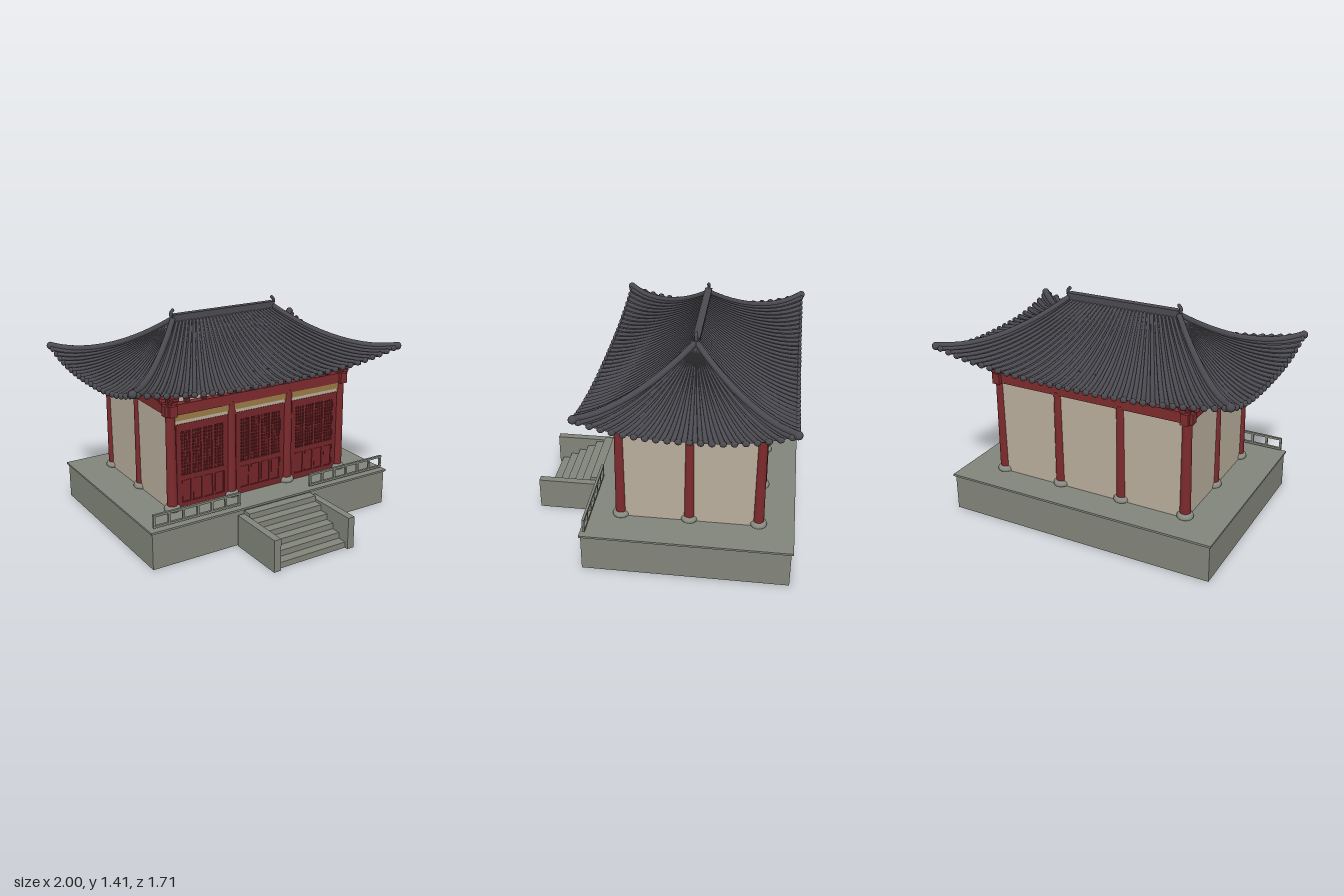
import * as THREE from 'three';
import { mergeGeometries } from 'three/addons/utils/BufferGeometryUtils.js';

const mat = (name, color, side = THREE.FrontSide) => {
  const m = new THREE.MeshStandardMaterial({ color, side });
  m.name = name;
  return m;
};
const ZC = -0.2;                    // centre of the hall
const HX = 0.645, HZ = 0.43;        // half spacing of the corner columns
const RIDGE = 0.38, EX = 0.975, EZ = 0.62; // ridge and eave half sizes
const lerp = THREE.MathUtils.lerp;

const box = (w, h, d, x, y, z) => new THREE.BoxGeometry(w, h, d).translate(x, y, z);
// Box from its limits
const span = (x0, x1, y0, y1, z0, z1) =>
  box(x1 - x0, y1 - y0, z1 - z0, (x0 + x1) / 2, (y0 + y1) / 2, (z0 + z1) / 2);

// Roof surface: s runs along the eave (-1..1), t from ridge (0) to eave (1)
function roofPoint(end, s, t, lift = 0) {
  const y = 1.34 - 0.32 * (1 - Math.pow(1 - t, 1.7)) + 0.09 * Math.pow(Math.abs(s), 2.6) * t * t + lift;
  return end
    ? new THREE.Vector3(lerp(RIDGE, EX, t), y, -s * EZ * t)
    : new THREE.Vector3(s * lerp(RIDGE, EX, t), y, EZ * t);
}

function roofSheet(end) {
  const g = new THREE.PlaneGeometry(1, 1, 40, 14);
  const p = g.attributes.position;
  for (let i = 0; i < p.count; i++) {
    const v = roofPoint(end, p.getX(i) * 2, 0.5 - p.getY(i));
    p.setXYZ(i, v.x, v.y, v.z);
  }
  g.computeVertexNormals();
  return g;
}

// Tile roll down the slope, narrowing toward the ridge
function roll(end, s, r, top, lift) {
  const pts = [];
  for (let i = 0; i <= 8; i++) pts.push(roofPoint(end, s, i / 8, lift));
  const curve = new THREE.CatmullRomCurve3(pts);
  const n = 12, sides = 8;
  const g = new THREE.TubeGeometry(curve, n, r, sides);
  const p = g.attributes.position, v = new THREE.Vector3();
  for (let i = 0; i < p.count; i++) {
    const u = Math.floor(i / (sides + 1)) / n;
    const c = curve.getPointAt(u);
    v.fromBufferAttribute(p, i).sub(c).multiplyScalar(lerp(top, 1, u)).add(c);
    p.setXYZ(i, v.x, v.y, v.z);
  }
  return g;
}

export function createModel() {
  const stone = mat('stone', 0x82857a);
  const red = mat('red lacquer', 0x7d2a2d);
  const doorRed = mat('door red', 0x742528);
  const shade = mat('door recess', 0x541a1d);
  const plaster = mat('plaster', 0xb8ae9c);
  const ochre = mat('ochre', 0x9a7a45);
  const tile = mat('roof tile', 0x4a4a50, THREE.DoubleSide);
  const darkWood = mat('bracket wood', 0x5a2a2a);
  const baseStone = mat('column base stone', 0x8b8c82);

  const model = new THREE.Group();
  const add = (name, material, geos) => {
    const m = new THREE.Mesh(mergeGeometries(geos.map(g => g.index ? g.toNonIndexed() : g)), material);
    m.name = name;
    model.add(m);
    return m;
  };

  // Terrace with a thin overhanging slab
  add('terrace', stone, [span(-0.895, 0.895, 0, 0.237, -0.84, 0.44)]);
  add('terraceSlab', stone, [span(-0.905, 0.905, 0.237, 0.25, -0.853, 0.45)]);

  // Stairs between two solid cheeks
  const steps = [];
  for (let i = 0; i < 6; i++) {
    const z = 0.83 - i * 0.0635;
    steps.push(span(-0.255, 0.255, i * 0.039, (i + 1) * 0.039, z - 0.0635, z));
  }
  add('steps', stone, steps);
  add('stairCheeks', stone, [-1, 1].map(s => box(0.048, 0.212, 0.405, s * 0.278, 0.106, 0.652)));

  // Railings on the front edge
  for (const s of [-1, 1]) {
    const parts = [0.273, 0.345].map(y => box(0.61, 0.014, 0.016, s * 0.573, y, 0.422));
    for (let i = 0; i < 7; i++) parts.push(box(0.014, 0.085, 0.014, s * (0.275 + i * 0.0993), 0.309, 0.422));
    add(s > 0 ? 'leftRailing' : 'rightRailing', stone, parts);
  }

  // Columns on round bases
  const spots = [];
  for (const x of [-HX, -0.217, 0.217, HX])
    for (const z of [-HZ, HZ]) spots.push([x, ZC + z]);
  spots.push([-HX, ZC], [HX, ZC]);
  add('columns', red, spots.map(([x, z]) =>
    new THREE.CylinderGeometry(0.029, 0.034, 0.62, 20).translate(x, 0.58, z)));
  const profile = [[0, 0], [0.05, 0], [0.052, 0.012], [0.048, 0.026], [0.04, 0.034], [0, 0.034]]
    .map(([x, y]) => new THREE.Vector2(x, y));
  add('columnBases', baseStone, spots.map(([x, z]) =>
    new THREE.LatheGeometry(profile, 20).translate(x, 0.25, z)));

  // Plaster walls on the sides and back, with a strip above the doors
  add('walls', plaster, [
    ...[-1, 1].map(s => box(0.03, 0.63, HZ * 2, s * HX, 0.565, ZC)),
    box(HX * 2, 0.63, 0.03, 0, 0.565, ZC - HZ),
    box(HX * 2, 0.08, 0.024, 0, 0.84, ZC + HZ),
  ]);
  add('lintel', ochre, [box(HX * 2, 0.038, 0.036, 0, 0.852, ZC + HZ)]);

  // Tie beams crossing at the corners
  add('tieBeams', red, [
    ...[-1, 1].map(s => box(1.38, 0.067, 0.05, 0, 0.907, ZC + s * HZ)),
    ...[-1, 1].map(s => box(0.05, 0.069, 0.96, s * HX, 0.907, ZC)),
  ]);

  // Door bays: four leaves, each with lattice above and a panel below
  const zd = ZC + HZ;
  for (const [name, cx] of [['rightDoors', -0.43], ['middleDoors', 0], ['leftDoors', 0.43]]) {
    const w = 0.37, frame = [], panels = [];
    frame.push(box(w, 0.05, 0.03, cx, 0.785, zd), box(w, 0.035, 0.03, cx, 0.455, zd),
      box(w, 0.04, 0.03, cx, 0.27, zd));
    for (const s of [-1, 1]) frame.push(box(0.03, 0.56, 0.03, cx + s * 0.17, 0.53, zd));
    for (let i = 0; i < 4; i++) {
      const x = cx - 0.1185 + i * 0.079;
      for (const s of [-1, 1]) frame.push(box(0.009, 0.52, 0.026, x + s * 0.035, 0.53, zd));
      for (let k = -1; k <= 1; k++) frame.push(box(0.006, 0.3, 0.018, x + k * 0.0165, 0.615, zd));
      for (let k = 0; k < 12; k++) frame.push(box(0.07, 0.006, 0.02, x, 0.493 + k * 0.0225, zd));
      panels.push(box(0.056, 0.14, 0.022, x, 0.364, zd));
    }
    add(name, doorRed, [...frame, ...panels]);
    add(name + 'Recess', shade, [box(w, 0.55, 0.008, cx, 0.53, zd)]);
  }

  // Brackets under the eaves
  const brackets = [];
  const bracket = (x, z, turn) => {
    for (const b of [box(0.026, 0.13, 0.03, 0, 0.995, 0), box(0.042, 0.018, 0.07, 0, 0.985, 0.01),
      box(0.03, 0.02, 0.13, 0, 1.012, 0.02)])
      brackets.push(b.rotateY(turn).translate(x, 0, z));
  };
  for (const s of [-1, 1]) {
    for (let i = 1; i < 11; i++) bracket(-HX + i * HX * 2 / 11, ZC + s * HZ, s > 0 ? 0 : Math.PI);
    for (let i = 1; i < 8; i++) bracket(s * HX, ZC - HZ + i * HZ / 4, s * Math.PI / 2);
  }
  add('eaveBrackets', darkWood, brackets);
  const corners = [];
  for (const sx of [-1, 1]) for (const sz of [-1, 1]) {
    const x = sx * HX, z = ZC + sz * HZ;
    corners.push(box(0.05, 0.09, 0.05, x, 0.98, z), box(0.12, 0.016, 0.04, x + sx * 0.005, 0.965, z),
      box(0.04, 0.016, 0.12, x, 0.965, z + sz * 0.005), box(0.17, 0.018, 0.04, x, 0.992, z),
      box(0.04, 0.018, 0.17, x, 0.992, z),
      box(0.035, 0.022, 0.22, 0, 0, 0).rotateY(sx * sz * Math.PI / 4).translate(x + sx * 0.02, 1.01, z + sz * 0.02));
  }
  add('cornerBrackets', red, corners);

  // Curved hip roof: sheet, tile rolls and round eave ends
  const sheets = [], rolls = [], ends = [], hips = [];
  for (const turn of [0, Math.PI]) {
    const place = g => g.rotateY(turn).translate(0, 0, ZC);
    for (const end of [false, true]) {
      sheets.push(place(roofSheet(end)));
      const n = end ? 20 : 32;
      for (let i = 0; i < n; i++) {
        const s = -1 + (2 * i + 1) / n;
        rolls.push(place(roll(end, s, 0.016, end ? 0.15 : 0.5, 0)));
        const e = roofPoint(end, s, 1);
        ends.push(place(new THREE.SphereGeometry(0.021, 10, 8)
          .scale(end ? 0.7 : 1, 0.9, end ? 1 : 0.7).translate(e.x, e.y, e.z)));
      }
    }
    for (const s of [-1, 1]) {
      hips.push(place(roll(false, s, 0.023, 0.8, 0.008)));
      const e = roofPoint(false, s, 1, 0.006);
      hips.push(place(new THREE.SphereGeometry(0.026, 12, 8).translate(e.x, e.y, e.z)));
    }
  }
  add('roofSheet', tile, sheets);
  add('tileRolls', tile, rolls);
  add('eaveEnds', tile, ends);
  add('hipRidges', tile, hips);

  // Main ridge with upturned ends
  add('mainRidge', tile, [box(0.78, 0.045, 0.036, 0, 1.347, ZC), box(0.77, 0.008, 0.046, 0, 1.372, ZC)]);
  add('ridgeHorns', tile, [-1, 1].flatMap(s => {
    const c = new THREE.CatmullRomCurve3([[0.375, 1.34], [0.393, 1.365], [0.393, 1.388], [0.38, 1.403]]
      .map(([x, y]) => new THREE.Vector3(s * x, y, ZC)));
    return [new THREE.TubeGeometry(c, 8, 0.011, 8),
      new THREE.SphereGeometry(0.011, 8, 6).translate(s * 0.38, 1.403, ZC)];
  }));

  return model;
}
